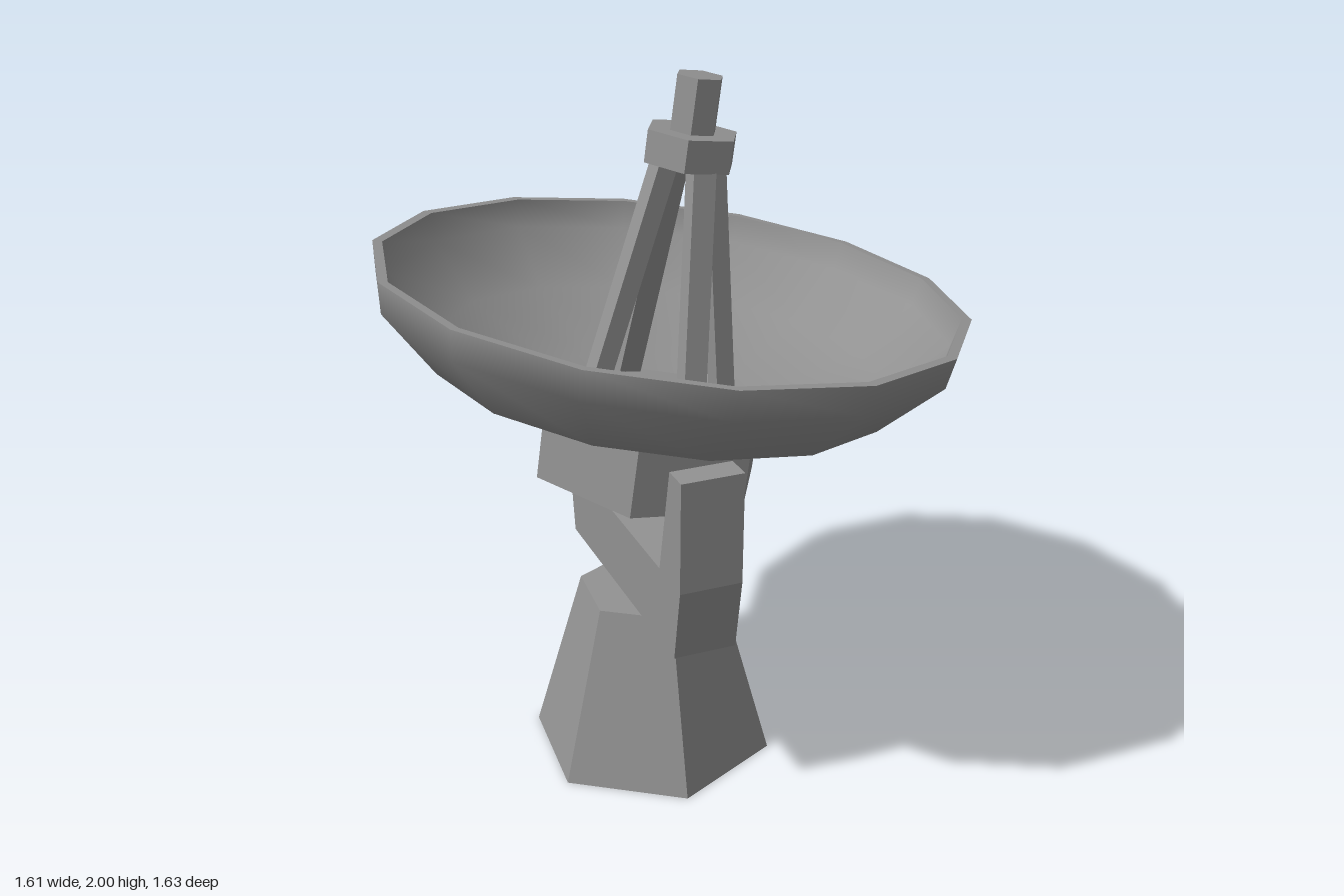
import * as THREE from 'three';

const rad = THREE.MathUtils.degToRad;

export function createModel() {
  const model = new THREE.Group();
  model.name = 'dishAntenna';
  const grey = new THREE.MeshStandardMaterial({ color: 0x929292, side: THREE.DoubleSide });
  grey.name = 'grey metal';

  const add = (parent, name, geometry) => {
    const mesh = new THREE.Mesh(geometry, grey);
    mesh.name = name;
    parent.add(mesh);
    return mesh;
  };

  // Faceted six-sided prism between two heights
  const hexPrism = (rTop, rBottom, y0, y1, turn, open = false) => {
    const g = new THREE.CylinderGeometry(rTop, rBottom, y1 - y0, 6, 1, open, rad(turn)).toNonIndexed();
    g.translate(0, (y0 + y1) / 2, 0);
    g.computeVertexNormals();
    return g;
  };

  // Pedestal: hollow tapered shell with a closed top
  const mount = new THREE.Group();
  mount.name = 'mount';
  mount.position.set(-0.067, 0, 0.018);
  model.add(mount);
  add(mount, 'pedestal', hexPrism(0.21, 0.355, 0, 0.512, 11, true));
  const top = new THREE.CircleGeometry(0.21, 6, rad(-19));
  top.rotateX(-Math.PI / 2);
  add(mount, 'pedestalTop', top).position.y = 0.512;

  // Yoke: U-shaped fork
  const half = [[0.405, 0.512], [0.445, 0.73], [0.45, 1.057], [0.37, 1.057], [0.298, 0.735]];
  const outline = [...half, ...half.map(([x, y]) => [-x, y]).reverse()];
  const fork = new THREE.ExtrudeGeometry(
    new THREE.Shape(outline.map(([x, y]) => new THREE.Vector2(x, y))),
    { depth: 0.18, bevelEnabled: false });
  fork.translate(0, 0, -0.09);
  add(mount, 'yoke', fork).rotation.y = rad(-74.5);

  // Pivot pin between the yoke arms
  const pin = new THREE.CylinderGeometry(0.04, 0.04, 0.76, 6).toNonIndexed();
  pin.computeVertexNormals();
  pin.rotateZ(Math.PI / 2);
  const pinMesh = add(mount, 'pivotPin', pin);
  pinMesh.position.y = 0.975;
  pinMesh.rotation.y = rad(-74.5);

  // Everything tilted with the dish; the origin is the rim centre
  const head = new THREE.Group();
  head.name = 'tiltingHead';
  head.position.set(0, 1.44, 0);
  head.quaternion.setFromUnitVectors(
    new THREE.Vector3(0, 1, 0), new THREE.Vector3(0.133, 1, -0.035).normalize());
  model.add(head);

  add(head, 'dishHub', hexPrism(0.33, 0.33, -0.57, -0.345, 46));

  // Dish: smooth outer and inner skins joined by a sharp rim
  const skins = {
    dishOuter: [[0, -0.4], [0.352, -0.37], [0.645, -0.253], [0.805, -0.086], [0.82, 0]],
    dishRim: [[0.82, 0], [0.793, 0]],
    dishInner: [[0.793, 0], [0.775, -0.08], [0.625, -0.225], [0.34, -0.335], [0, -0.365]],
  };
  for (const [name, points] of Object.entries(skins)) {
    add(head, name, new THREE.LatheGeometry(
      points.map(([r, y]) => new THREE.Vector2(r, y)), 14, rad(4.2)));
  }

  // Four legs leaning in from the dish to the collar
  for (let i = 0; i < 4; i++) {
    const foot = i % 2 ? 0.236 : 0.203;
    const tip = i % 2 ? 0.083 : 0.068;
    const leg = new THREE.BoxGeometry(0.054, 0.7, 0.064);
    const p = leg.attributes.position;
    for (let k = 0; k < p.count; k++) {
      p.setX(k, p.getX(k) + (p.getY(k) > 0 ? tip : foot));
    }
    leg.translate(0, -0.015, 0);
    leg.computeVertexNormals();
    add(head, 'feedLeg', leg).rotation.y = rad(16 + i * 90);
  }

  // Receiver at the focus
  add(head, 'receiverCollar', hexPrism(0.13, 0.13, 0.325, 0.413, 48));
  add(head, 'receiverTip', hexPrism(0.066, 0.066, 0.41, 0.56, 48));

  return model;
}
